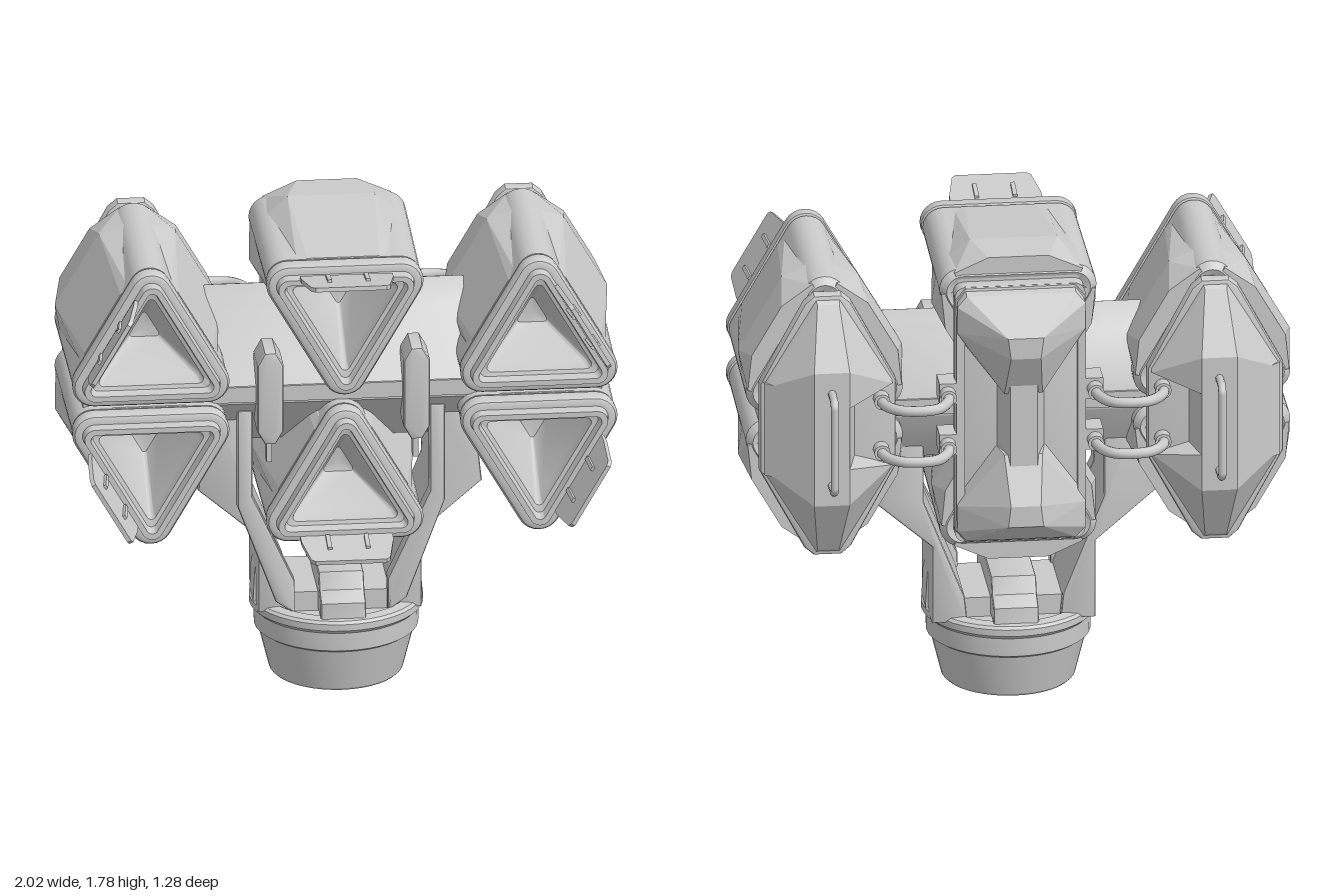
import * as THREE from 'three';
import { toCreasedNormals } from 'three/addons/utils/BufferGeometryUtils.js';
import { ConvexGeometry } from 'three/addons/geometries/ConvexGeometry.js';

const MID = 1.18; // height of the horizontal mirror line
const mat = new THREE.MeshStandardMaterial({ color: 0xcccccc, side: THREE.DoubleSide });

function add(parent, name, geometry, x = 0, y = 0, z = 0) {
  const mesh = new THREE.Mesh(geometry, mat);
  mesh.name = name;
  mesh.position.set(x, y, z);
  parent.add(mesh);
  return mesh;
}
const box = (w, h, d) => new THREE.BoxGeometry(w, h, d);
const hull = pts => new ConvexGeometry(pts.map(p => new THREE.Vector3(...p)));
// points repeated with x mirrored
const both = pts => pts.flatMap(([x, y, z]) => [[x, y, z], [-x, y, z]]);

// flat outline extruded along z from z0 to z1, with a bevel inside that range
function slab(pts, z0, z1, bevel = 0.012) {
  const shape = new THREE.Shape(pts.map(p => new THREE.Vector2(...p)));
  const g = new THREE.ExtrudeGeometry(shape, {
    depth: z1 - z0 - 2 * bevel, bevelEnabled: bevel > 0, bevelSize: bevel,
    bevelThickness: bevel, bevelOffset: -bevel, bevelSegments: 2 });
  return toCreasedNormals(g.translate(0, 0, z0 + bevel), 0.6);
}

// one rounded triangle, apex down: corner circles of radius r at distance R
function triangleRing(R, r, segs = 8) {
  const ring = [];
  for (let k = 0; k < 3; k++) {
    const a = Math.PI / 6 + k * Math.PI * 2 / 3;
    for (let i = 0; i <= segs; i++) {
      const b = a + (i / segs - 0.5) * Math.PI * 2 / 3;
      ring.push([R * Math.cos(a) + r * Math.cos(b), R * Math.sin(a) + r * Math.sin(b)]);
    }
  }
  return ring;
}

// skin a list of [z, R, r] sections
function triangleLoft(sections) {
  const pos = [], index = [], n = triangleRing(1, 1).length;
  sections.forEach(([z, R, r], j) => {
    triangleRing(R, r).forEach(([x, y]) => pos.push(x, y, z));
    if (!j) return;
    for (let i = 0; i < n; i++) {
      const a = (j - 1) * n + i, b = (j - 1) * n + (i + 1) % n;
      index.push(a, b, b + n, a, b + n, a + n);
    }
  });
  const g = new THREE.BufferGeometry();
  g.setAttribute('position', new THREE.Float32BufferAttribute(pos, 3));
  g.setIndex(index);
  return toCreasedNormals(g, 0.6);
}

// triangular barrel; its outer face points along local +y
function makeBarrel(flatFace) {
  const barrel = new THREE.Group();
  barrel.name = 'barrel';
  add(barrel, 'barrelShell', triangleLoft([
    [-0.34, 0, 0], [-0.34, 0.23, 0.04], [-0.28, 0.23, 0.04], [-0.29, 0.235, 0.06], [-0.265, 0.24, 0.08],
    [0.345, 0.24, 0.075], [0.345, 0.24, 0.065], [0.355, 0.24, 0.065], [0.36, 0.24, 0.078],
    [0.40, 0.24, 0.08], [0.415, 0.24, 0.072], [0.42, 0.24, 0.06], [0.42, 0.24, 0.045],
    [0.46, 0.24, 0.04], [0.46, 0.235, 0.022], [0.42, 0.225, 0.02], [0.415, 0.2, 0.018],
    [0.36, 0.19, 0.015], [0.15, 0.05, 0.01], [0.14, 0, 0]]));

  // faceted armour bulge on each face
  for (let k = -1; k <= 1; k++) {
    const h = k !== 0 && k === flatFace ? 0.018 : 0.06;
    const armour = add(barrel, 'armourFacet', hull(both([
      [0.17, 0.188, 0.345], [0.13, 0.197, 0.34], [0.245, 0.185, -0.1], [0.16, 0.195 + h, -0.12],
      [0.11, 0.195 + h * 0.85, -0.285], [0.235, 0.19, -0.285], [0.2, 0.1, -0.285], [0.15, 0.15, 0.34]])));
    armour.rotation.z = k * Math.PI * 2 / 3;
  }

  // hinged muzzle flap with two ribs
  const flap = new THREE.Group();
  flap.name = 'muzzleFlap';
  flap.position.set(0, 0.165, 0.45);
  flap.rotation.x = Math.PI / 2 - 0.15;
  barrel.add(flap);
  add(flap, 'flapPlate', slab([[-0.17, 0], [0.17, 0], [0.168, 0.05], [0.145, 0.175], [0.13, 0.19],
    [-0.13, 0.19], [-0.145, 0.175], [-0.168, 0.05]], -0.008, 0.008, 0));
  for (const s of [-1, 1]) add(flap, 'flapRib', box(0.016, 0.09, 0.036), s * 0.07, 0.065, 0);
  return barrel;
}

// rear housing joining the two barrels on one side
function sideHousing(s) {
  const g = new THREE.Group();
  g.name = 'sideHousing';
  g.position.set(s * 0.71, MID, 0);
  add(g, 'housingFlange', slab([[-0.05, 0.51], [-0.085, 0.48], [-0.25, 0.17], [-0.25, -0.17], [-0.085, -0.48],
    [-0.05, -0.51], [0.05, -0.51], [0.085, -0.48], [0.25, -0.17], [0.25, 0.17], [0.085, 0.48], [0.05, 0.51]],
  -0.39, -0.33, 0.015));
  for (const v of [-1, 1]) {
    add(g, 'housingEnd', hull(both([[0.045, v * 0.5, -0.38], [0.235, v * 0.18, -0.38], [0.235, v * 0.16, -0.40],
      [0.04, v * 0.48, -0.405], [0.065, v * 0.26, -0.53], [0.065, v * 0.12, -0.53], [0.1, v * 0.12, -0.38]])));
  }
  const middle = [];
  for (const v of [-0.18, 0.18]) middle.push([-s * 0.1, v, -0.38], [s * 0.235, v, -0.38], [s * 0.235, v, -0.40],
    [-s * 0.065, v, -0.53], [s * 0.065, v, -0.53]);
  add(g, 'housingMiddle', hull(middle));

  // grab handle
  const path = new THREE.CurvePath();
  const p = [[0.18, -0.52], [0.18, -0.605], [0.16, -0.622], [-0.16, -0.622], [-0.18, -0.605], [-0.18, -0.52]]
    .map(([y, z]) => new THREE.Vector3(0, y, z));
  for (let i = 1; i < p.length; i++) path.add(new THREE.LineCurve3(p[i - 1], p[i]));
  add(g, 'handle', new THREE.TubeGeometry(path, 60, 0.015, 10));
  return g;
}

// rear housing behind the two centre barrels
function centreHousing() {
  const g = new THREE.Group();
  g.name = 'centreHousing';
  g.position.y = MID;
  add(g, 'housingFlange', slab([[-0.2, 0.5], [-0.24, 0.45], [-0.24, -0.45], [-0.2, -0.5],
    [0.2, -0.5], [0.24, -0.45], [0.24, 0.45], [0.2, 0.5]], -0.35, -0.28));
  for (const v of [-1, 1]) {
    add(g, 'housingEnd', hull(both([[0.2, v * 0.49, -0.34], [0.23, v * 0.45, -0.34], [0.2, v * 0.48, -0.38],
      [0.235, v * 0.44, -0.385], [0.235, v * 0.34, -0.385], [0.235, v * 0.32, -0.34],
      [0.065, v * 0.37, -0.54], [0.055, v * 0.29, -0.54], [0.07, v * 0.12, -0.45], [0.09, v * 0.12, -0.34]])));
    add(g, 'sideRail', box(0.03, 0.8, 0.09), v * 0.222, 0, -0.335);
  }
  add(g, 'housingColumn', hull(both([[0.09, 0.2, -0.34], [0.09, -0.2, -0.34],
    [0.05, 0.25, -0.47], [0.05, -0.25, -0.47]])));
  return g;
}

export function createModel() {
  const model = new THREE.Group();
  model.name = 'sixBarrelTurret';

  // barrels: x, y, angle of the outer face, which face lies against its twin
  const T = Math.PI / 3;
  for (const [x, y, a, flat] of [
    [0, 1.525, 0, 0], [0, 0.835, 3 * T, 0], [0.71, 1.395, -T, -1], [-0.71, 1.395, T, 1],
    [0.71, 0.965, -2 * T, 1], [-0.71, 0.965, 2 * T, -1]]) {
    const barrel = makeBarrel(flat);
    barrel.position.set(x, y, 0);
    barrel.rotation.z = a;
    model.add(barrel);
  }

  // cross member and plate between upper and lower barrels
  const beam = slab([[-0.3, 1.14], [-0.3, 1.21], [-0.06, 1.42], [-0.02, 1.46], [0.03, 1.48], [0.08, 1.46],
    [0.12, 1.42], [0.24, 1.21], [0.24, 1.14], [0.1, 0.93], [-0.12, 0.93]], -0.48, 0.48);
  add(model, 'crossBeam', beam.rotateY(Math.PI / 2));
  add(model, 'crossPlate', box(1.9, 0.06, 0.56), 0, MID, 0.03);
  model.add(centreHousing());

  for (const s of [1, -1]) {
    model.add(sideHousing(s));

    // fork arm, front strut and buttress
    const mirror = pts => pts.map(([x, y]) => [s * x, y]);
    add(model, 'forkArm', slab(mirror([[0.48, 1.14], [0.52, 0.77], [0.30, 0.58], [0.30, 0.28], [0.17, 0.28],
      [0.18, 0.38], [0.33, 0.76], [0.33, 1.14]]), -0.135, 0.22));
    add(model, 'forkStrut', slab(mirror([[0.38, 1.1], [0.38, 0.72], [0.24, 0.34], [0.30, 0.29], [0.17, 0.29],
      [0.17, 0.42], [0.325, 0.76], [0.325, 1.1]].filter((_, i) => i !== 3)), 0.2, 0.27));
    add(model, 'buttress', hull([[0.27, 0.29], [0.31, 0.29], [0.305, 0.4], [0.29, 0.5], [0.27, 0.5]].flatMap(
      ([x, y]) => [1, -1].map(v => [s * x, y, 0.066 + v * (y > 0.45 ? 0.035 : 0.068)]))));

    // pointed bracket beside the centre barrels
    add(model, 'pointedBracket', slab([[-0.02, 0.18], [-0.048, 0.13], [-0.048, -0.13], [-0.02, -0.18],
      [0.02, -0.18], [0.048, -0.13], [0.048, 0.13], [0.02, 0.18]], 0.2, 0.36), s * 0.268, MID);
    add(model, 'bracketPin', box(0.02, 0.1, 0.05), s * 0.268, 0.96, 0.28);

    // hoses from the centre housing to the side housing
    for (const v of [-0.1, 0.1]) {
      const y = MID + v;
      const curve = new THREE.CatmullRomCurve3([[0.27, -0.34], [0.275, -0.45], [0.32, -0.52], [0.39, -0.535],
        [0.46, -0.52], [0.51, -0.46], [0.515, -0.38]].map(([x, z]) => new THREE.Vector3(s * x, y, z)));
      add(model, 'hose', new THREE.TubeGeometry(curve, 32, 0.02, 10));
      for (const [x, z] of [[0.27, -0.4], [0.515, -0.41]]) {
        add(model, 'hoseFitting', new THREE.CylinderGeometry(0.03, 0.03, 0.05, 12).rotateX(Math.PI / 2), s * x, y, z);
      }
      add(model, 'hoseBlock', box(0.07, 0.08, 0.1), s * 0.265, y, -0.33);
    }
  }

  // round pedestal
  const profile = [[0, 0], [0.235, 0], [0.245, 0.01], [0.285, 0.17], [0.3, 0.18], [0.302, 0.25], [0.318, 0.265],
    [0.318, 0.29], [0.308, 0.3], [0.27, 0.305], [0.25, 0.29], [0, 0.29]].map(p => new THREE.Vector2(...p));
  add(model, 'pedestal', toCreasedNormals(new THREE.LatheGeometry(profile, 40), 0.5), 0, 0, 0.066);

  // saddle blocks on the pedestal
  const saddle = slab([[-0.355, 0.29], [-0.35, 0.36], [-0.29, 0.39], [-0.26, 0.45], [0.12, 0.45], [0.15, 0.39],
    [0.21, 0.36], [0.22, 0.29]], -0.083, 0.083);
  add(model, 'saddle', saddle.rotateY(Math.PI / 2));
  add(model, 'saddleCrossBlock', box(0.4, 0.09, 0.34), 0, 0.32, 0.066);
  return model;
}
